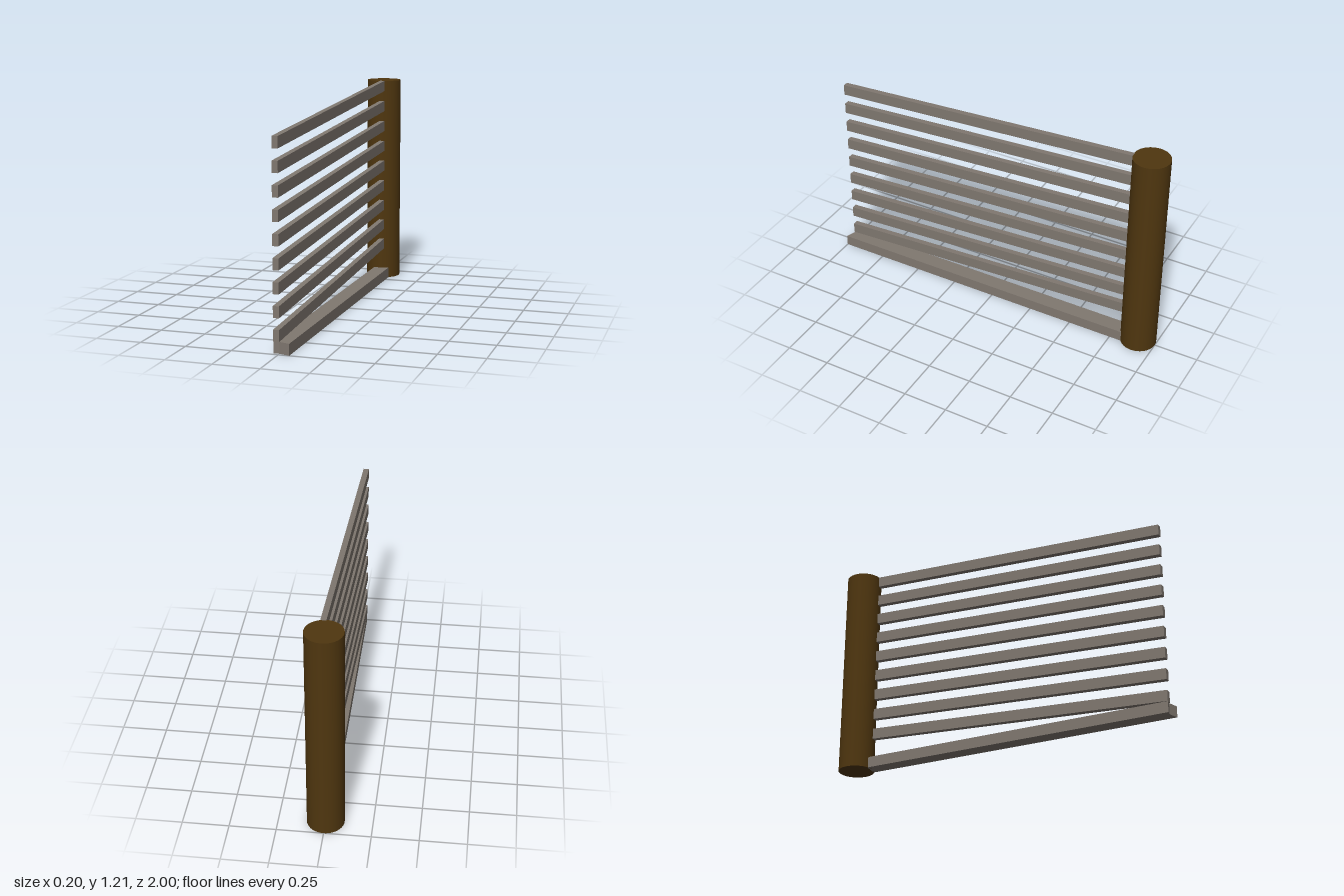
import * as THREE from 'three';

const HEIGHT = 1.21;

// Solid extruded upward from a plan outline of [x, z] points.
// An optional rule gives the base height at each z, so the solid can slope.
function planSolid(points, height, baseAt = () => 0) {
  const shape = new THREE.Shape(points.map(([x, z]) => new THREE.Vector2(x, -z)));
  const geo = new THREE.ExtrudeGeometry(shape, { depth: height, bevelEnabled: false });
  geo.rotateX(-Math.PI / 2);
  const p = geo.attributes.position;
  for (let i = 0; i < p.count; i++) p.setY(i, p.getY(i) + baseAt(p.getZ(i)));
  geo.computeVertexNormals();
  return geo;
}

export function createModel() {
  const group = new THREE.Group();
  const wood = new THREE.MeshStandardMaterial({ name: 'dark wood', color: 0x4f360f });
  const grey = new THREE.MeshStandardMaterial({ name: 'weathered grey', color: 0x807870 });

  const add = (name, geo, mat) => {
    const mesh = new THREE.Mesh(geo, mat);
    mesh.name = name;
    group.add(mesh);
    return mesh;
  };

  // Round post at the back
  add('post', new THREE.CylinderGeometry(0.1, 0.1, HEIGHT, 48), wood)
    .position.set(0, HEIGHT / 2, -0.9);

  // Flat ground beam with an angled front end
  add('groundBeam', planSolid([
    [-0.03, 0.985], [0, 0.98], [0.058, 1], [0.058, -0.82], [-0.03, -0.81],
  ], 0.061), grey);

  // Nine rails rising toward the post and drifting sideways
  const front = 0.985, back = -0.805, step = 0.1211;
  const plan = [[-0.032, front], [0, front], [0.03, back], [0, back]];
  for (let i = 0; i < 9; i++) {
    const base = 0.061 + i * step;
    const slope = (z) => base + 0.12 * (front - z) / (front - back);
    add(`rail${i + 1}`, planSolid(plan, 0.061, slope), grey);
  }

  return group;
}
